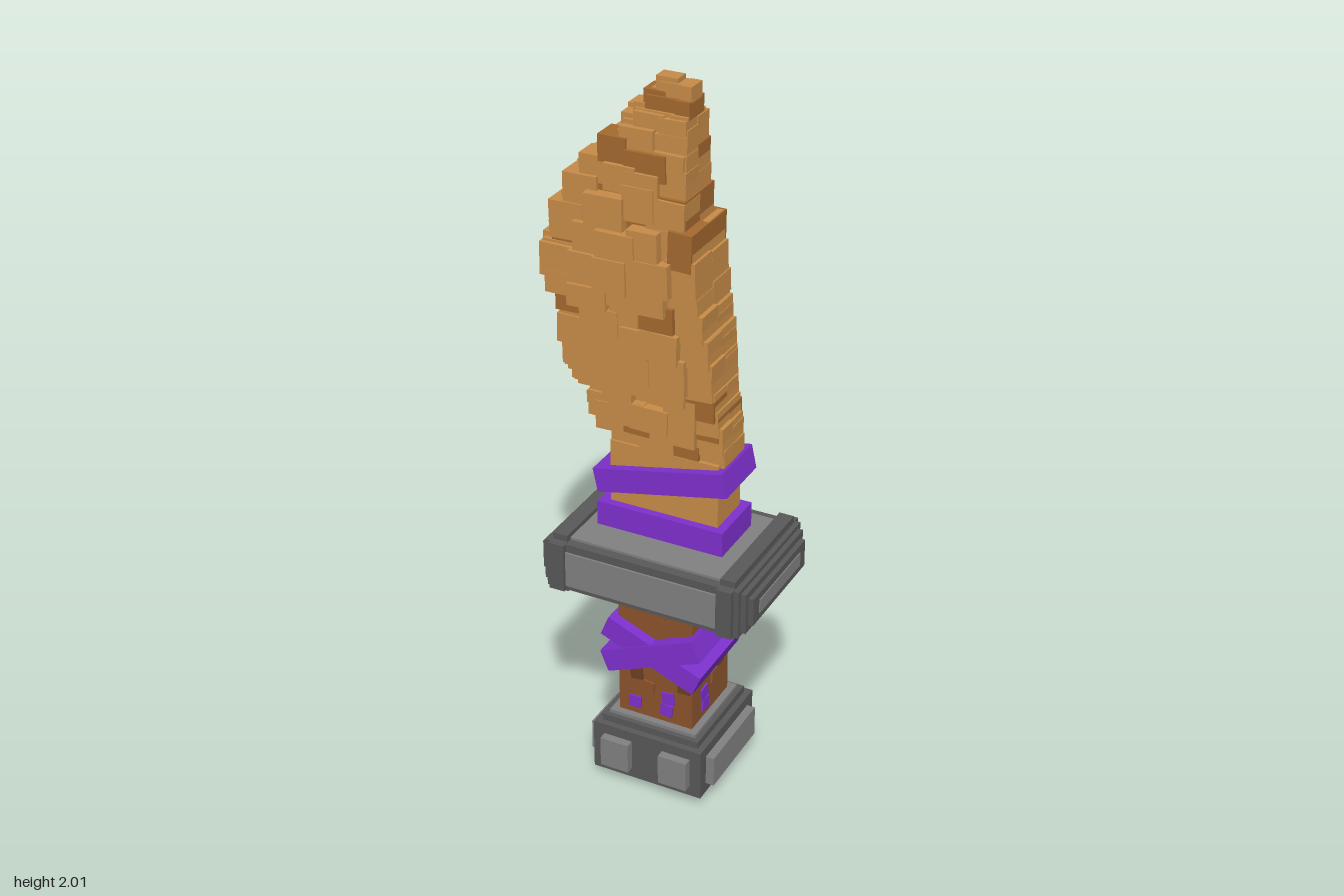
import * as THREE from 'three';

const mat = (color) => new THREE.MeshStandardMaterial({ color });
const M = {
  bone: mat(0xc68b48), boneDark: mat(0xa4682f), wood: mat(0x8a532c), woodDark: mat(0x6b3f20),
  cloth: mat(0x7d30cc), iron: mat(0x585858), ironLight: mat(0x808080),
};
const CX = 0.022; // centre line of the handle

// Box given by its extents on each axis
function box(parent, name, m, x0, x1, y0, y1, z0, z1) {
  const mesh = new THREE.Mesh(new THREE.BoxGeometry(x1 - x0, y1 - y0, z1 - z0), m);
  mesh.position.set((x0 + x1) / 2, (y0 + y1) / 2, (z0 + z1) / 2);
  mesh.name = name;
  parent.add(mesh);
  return mesh;
}
// Box centred on the handle axis, by half widths
const block = (p, name, m, hx, y0, y1, hz) => box(p, name, m, CX - hx, CX + hx, y0, y1, -hz, hz);

function part(parent, name) {
  const g = new THREE.Group();
  g.name = name;
  parent.add(g);
  return g;
}

function seeded(seed) {
  return () => {
    seed = (seed * 16807) % 2147483647;
    return seed / 2147483647;
  };
}

function buildPommel(root) {
  const g = part(root, 'pommel');
  block(g, 'pommelCap', M.ironLight, 0.13, 0, 0.21, 0.13);
  block(g, 'pommelCore', M.iron, 0.163, 0.03, 0.18, 0.163);
  block(g, 'pommelCollar', M.iron, 0.145, 0.18, 0.2, 0.145);
  block(g, 'pommelSidePlates', M.ironLight, 0.187, 0.06, 0.15, 0.13);
  // paired studs on the front and back
  for (const s of [-1, 1]) for (const t of [-1, 1]) {
    const x = CX + t * 0.088;
    box(g, 'pommelStud', M.ironLight, x - 0.042, x + 0.042, 0.06, 0.15, s * 0.175 - 0.012, s * 0.175 + 0.012);
  }
}

function buildGrip(root) {
  const g = part(root, 'grip');
  block(g, 'gripShaft', M.wood, 0.11, 0.18, 0.63, 0.11);
  // crossed straps
  for (const s of [-1, 1]) {
    const strap = block(g, 'gripStrap', M.cloth, 0.148, 0.403, 0.467, 0.143 + s * 0.002);
    strap.rotation.z = s * 0.39;
  }
  // small chips: across, height, material
  const chips = [
    [0.035, 0.25, M.cloth], [-0.06, 0.25, M.cloth], [0.04, 0.29, M.cloth],
    [0.015, 0.565, M.wood], [0.088, 0.34, M.woodDark], [-0.055, 0.345, M.woodDark], [-0.02, 0.31, M.wood],
  ];
  for (let side = 0; side < 4; side++) {
    const face = part(g, 'gripChips');
    face.position.x = CX;
    face.rotation.y = side * Math.PI / 2;
    chips.forEach(([u, y, m], i) => {
      if ((i + side) % 3 === 2 && side) return;
      const x = side % 2 ? -u : u;
      const chip = box(face, 'chip', m, x - 0.018, x + 0.018, y - 0.018, y + 0.018, 0.1, 0.116);
      chip.rotation.z = (i % 3 - 1) * 0.12;
    });
  }
}

function buildGuard(root) {
  const g = part(root, 'guard');
  // stepped dark layers
  block(g, 'guardEnd', M.iron, 0.307, 0.64, 0.72, 0.16);
  block(g, 'guardStep', M.iron, 0.293, 0.62, 0.738, 0.176);
  block(g, 'guardBody', M.iron, 0.279, 0.61, 0.75, 0.19);
  // lighter inset panels
  block(g, 'guardTopPanel', M.ironLight, 0.235, 0.605, 0.757, 0.163);
  block(g, 'guardFacePanel', M.ironLight, 0.225, 0.625, 0.727, 0.196);
  block(g, 'guardEndPanel', M.ironLight, 0.31, 0.66, 0.7, 0.125);
  // bands
  for (const s of [-1, 1]) {
    const x = CX + s * 0.243;
    box(g, 'guardBand', M.iron, x - 0.022, x + 0.022, 0.612, 0.752, -0.205, 0.205);
    box(g, 'guardBandCap', M.iron, x - 0.021, x + 0.021, 0.598, 0.77, -0.18, 0.18);
  }
}

function buildBlade(root) {
  const g = part(root, 'blade');
  const rand = seeded(4217);
  box(g, 'bladeRoot', M.bone, -0.13, 0.18, 0.74, 1.02, -0.066, 0.066);
  // rows: bottom, top, cutting edge, spine, half thickness
  const rows = [
    [0.95, 1.06, -0.14, 0.192, 0.07], [1.04, 1.12, -0.18, 0.188, 0.078], [1.1, 1.17, -0.21, 0.178, 0.085],
    [1.16, 1.22, -0.245, 0.17, 0.088], [1.2, 1.3, -0.27, 0.163, 0.098], [1.29, 1.37, -0.28, 0.155, 0.106],
    [1.36, 1.43, -0.285, 0.142, 0.112], [1.42, 1.48, -0.31, 0.13, 0.116], [1.47, 1.56, -0.325, 0.125, 0.118],
    [1.55, 1.65, -0.3, 0.115, 0.113], [1.64, 1.73, -0.265, 0.09, 0.1], [1.71, 1.78, -0.22, 0.086, 0.088],
    [1.77, 1.84, -0.16, 0.085, 0.08], [1.83, 1.9, -0.115, 0.083, 0.068], [1.89, 1.93, -0.085, 0.08, 0.06],
    [1.92, 1.965, -0.06, 0.08, 0.05], [1.96, 2, -0.03, 0.08, 0.036],
  ];
  rows.forEach(([y0, y1, xl, xr, hz], i) => {
    const w = xr - xl;
    const dark = i === 10 || i === 15;
    // slab, spine block and jagged cutting edge
    box(g, 'bladeSlab', i === 9 || dark ? M.boneDark : M.bone, xl + 0.02, xr - 0.01, y0, y1, -hz * 0.68, hz * 0.68);
    const spine = box(g, 'bladeSpine', dark ? M.boneDark : M.bone,
      xr - w * 0.28, xr, y0, y1, -hz * 0.78, hz * 0.78);
    if (i < 10) spine.rotation.z = 0.05;
    const mid = (y0 + y1) / 2;
    box(g, 'bladeEdge', M.bone, xl, xl + 0.06, y0, mid, -hz * 0.45, hz * 0.5);
    box(g, 'bladeEdge', rand() < 0.2 ? M.boneDark : M.bone, xl + 0.012, xl + 0.07, mid - 0.01, y1 + 0.012, -hz * 0.6, hz * 0.55);
    if (i > 14) return;
    // overlapping plates on both faces, thickest in the middle
    const n = Math.max(2, Math.round(w / 0.085));
    for (const s of [-1, 1]) for (let k = 0; k < n; k++) {
      const u = (k + 0.5) / n;
      const x = xl + 0.02 + (w - 0.02) * u + (rand() - 0.5) * 0.02;
      const half = Math.min((w / n) * (0.45 + rand() * 0.25), x - xl - 0.01, xr - x);
      const shift = i ? (rand() - 0.5) * 0.045 : 0;
      const depth = hz * (0.72 + 0.27 * Math.sin(Math.PI * u) + (rand() - 0.5) * 0.14);
      const z = s * depth;
      const m = rand() < 0.13 ? M.boneDark : M.bone;
      const plate = box(g, 'bladePlate', m, x - half, x + half, y0 + shift, y1 + shift,
        Math.min(0, z), Math.max(0, z));
      plate.rotation.z = (rand() - 0.5) * 0.06;
    }
  });
}

function buildBladeStraps(root) {
  const g = part(root, 'bladeStraps');
  block(g, 'lowerStrap', M.cloth, 0.182, 0.77, 0.84, 0.088);
  const upper = block(g, 'upperStrap', M.cloth, 0.19, 0.908, 0.976, 0.089);
  upper.rotation.z = 0.21;
}

export function createModel() {
  const root = new THREE.Group();
  root.name = 'dagger';
  buildPommel(root);
  buildGrip(root);
  buildGuard(root);
  buildBlade(root);
  buildBladeStraps(root);
  return root;
}
